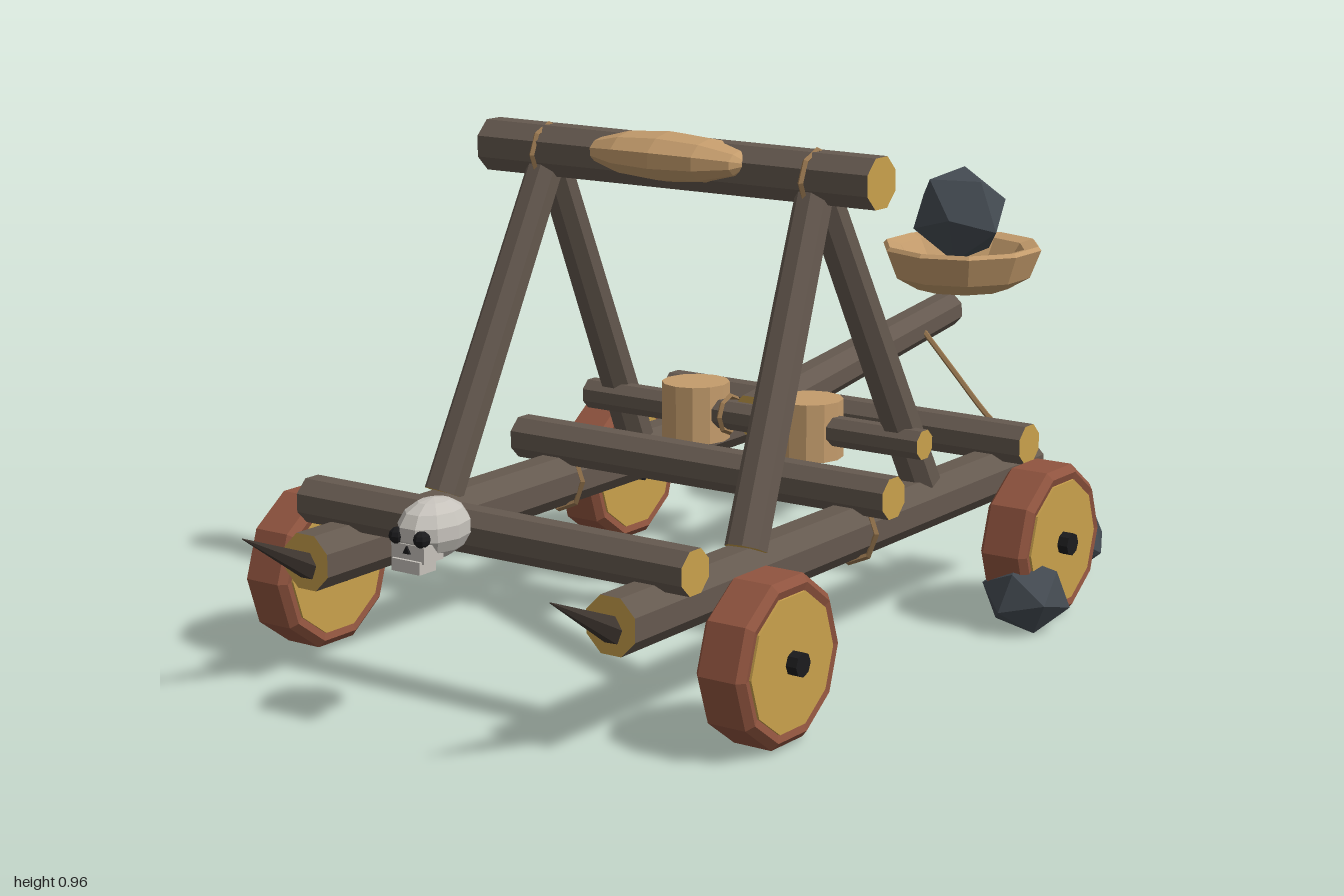
import * as THREE from 'three';

const mat = (name, color) => {
  const m = new THREE.MeshStandardMaterial({ color, flatShading: true });
  m.name = name;
  return m;
};

export function createModel() {
  const bark = mat('bark', 0x65594f);
  const cutWood = mat('cutWood', 0xc9a04c);
  const paleWood = mat('paleWood', 0xc49c6c);
  const rimWood = mat('rimWood', 0x90543f);
  const stone = mat('stone', 0x444b52);
  const bone = mat('bone', 0xc6c2bb);
  const black = mat('black', 0x1b1b1d);
  const horn = mat('horn', 0x3d352f);
  const cord = mat('cord', 0x96754e);

  const model = new THREE.Group();
  model.name = 'catapult';
  const CX = -0.02; // centre line of the frame
  const V = (x, y, z) => new THREE.Vector3(x, y, z);

  const add = (name, geo, material, x = 0, y = 0, z = 0, parent = model) => {
    const m = new THREE.Mesh(geo, material);
    m.name = name;
    m.position.set(x, y, z);
    parent.add(m);
    return m;
  };

  // Log between two points, with pale sawn ends
  const log = (name, a, b, ra, rb = ra, material = [bark, cutWood, cutWood], sides = 8) => {
    const dir = b.clone().sub(a);
    const geo = new THREE.CylinderGeometry(rb, ra, dir.length(), sides);
    geo.rotateY(Math.PI / sides);
    const m = add(name, geo, material);
    m.position.copy(a).lerp(b, 0.5);
    m.quaternion.setFromUnitVectors(V(0, 1, 0), dir.normalize());
    return m;
  };

  // Frame: side rails with spikes, and A-frame legs
  for (const s of [-1, 1]) {
    const x = CX + s * 0.34;
    log('sideRail', V(x, 0.25, -0.515), V(x, 0.245, 0.85), 0.052, 0.055);
    log('frontSpike', V(x, 0.235, 0.84), V(x - 0.008, 0.32, 1), 0.026, 0.001, horn, 6);
    const top = CX + s * 0.305;
    log('frontLeg', V(x + s * 0.005, 0.29, 0.465), V(top, 0.9, 0.185), 0.039, 0.035);
    log('rearLeg', V(x, 0.29, -0.125), V(top, 0.9, 0.18), 0.039, 0.035);

    // Rope lashings around the rail and the top beam
    const railTie = add('railLashing', new THREE.TorusGeometry(0.06, 0.006, 4, 8), cord, x, 0.25, 0.125);
    railTie.scale.y = 1.05;
    const topTie = add('topLashing', new THREE.TorusGeometry(0.053, 0.006, 4, 8), cord, top, 0.905, 0.185);
    topTie.rotation.y = Math.PI / 2;

    // Slack rope from the throwing arm to the rail
    const rope = new THREE.CatmullRomCurve3([
      V(CX + s * 0.03, 0.46, -0.635), V(CX + s * 0.14, 0.39, -0.585),
      V(CX + s * 0.25, 0.33, -0.525), V(x, 0.305, -0.465),
    ]);
    add('armRope', new THREE.TubeGeometry(rope, 10, 0.006, 5), cord);
  }

  // Cross beams: y, z, radius, ends
  for (const [name, y, z, r, x0, x1] of [
    ['frontBeam', 0.322, 0.727, 0.043, -0.455, 0.405],
    ['middleBeam', 0.32, 0.115, 0.042, -0.455, 0.41],
    ['rearBeam', 0.32, -0.39, 0.042, -0.455, 0.405],
    ['armAxle', 0.383, -0.048, 0.03, -0.41, 0.375],
    ['topBeam', 0.91, 0.182, 0.051, -0.463, 0.42],
  ]) log(name, V(x0, y, z), V(x1, y, z), r * 1.03, r * 0.98);

  // Padded stop on the top beam
  const pad = add('stopPad', new THREE.SphereGeometry(1, 10, 6).rotateZ(Math.PI / 2), paleWood, CX, 0.925, 0.215);
  pad.scale.set(0.182, 0.047, 0.073);

  // Stumps beside the arm
  for (const s of [-1, 1])
    add('stump', new THREE.CylinderGeometry(0.067, 0.067, 0.113, 12), paleWood, CX + s * 0.133, 0.382, -0.05);

  // Throwing arm, its lashing and bowl
  log('throwingArm', V(CX, 0.385, -0.05), V(CX, 0.482, -0.78), 0.044, 0.038);
  for (const s of [-1, 1]) {
    const tie = add('armLashing', new THREE.TorusGeometry(0.036, 0.006, 4, 8), cord, CX + s * 0.05, 0.383, -0.048);
    tie.rotation.y = Math.PI / 2;
  }
  const bowl = [[0, 0], [0.1, 0.003], [0.148, 0.03], [0.172, 0.09], [0.165, 0.098], [0.135, 0.09], [0.105, 0.045], [0, 0.035]]
    .map(([r, y]) => new THREE.Vector2(r, y));
  add('bowl', new THREE.LatheGeometry(bowl, 10), paleWood, CX, 0.516, -0.835);

  // Stones: one loaded, three on the ground
  for (const [name, x, y, z, sx, sy, sz, turn] of [
    ['loadedStone', -0.03, 0.675, -0.84, 0.107, 0.107, 0.1, 0.3],
    ['groundStone', 0.515, 0.08, -0.195, 0.088, 0.073, 0.083, 0.9],
    ['groundStone', 0.44, 0.085, -0.425, 0.083, 0.073, 0.078, 1.7],
    ['groundStone', 0.375, 0.083, -0.6, 0.088, 0.078, 0.083, 2.6],
  ]) {
    const geo = new THREE.IcosahedronGeometry(1, 0).rotateX(0.55).rotateY(turn);
    add(name, geo, stone, x, y, z).scale.set(sx, sy, sz);
  }

  // Wheels: bevelled rim, pale disc and dark hub, turned about x
  const rim = [[0.118, -0.044], [0.138, -0.05], [0.152, -0.038], [0.152, 0.038], [0.138, 0.05], [0.118, 0.044]]
    .map(([r, y]) => new THREE.Vector2(r, y));
  for (const s of [-1, 1]) for (const z of [0.635, -0.29]) {
    const wheel = new THREE.Group();
    wheel.name = 'wheel';
    wheel.position.set(CX + s * 0.51, 0.165, z);
    wheel.rotation.z = Math.PI / 2;
    model.add(wheel);
    add('wheelRim', new THREE.LatheGeometry(rim, 10), rimWood, 0, 0, 0, wheel);
    add('wheelDisc', new THREE.CylinderGeometry(0.123, 0.123, 0.1, 10), cutWood, 0, 0, 0, wheel);
    add('wheelHub', new THREE.CylinderGeometry(0.022, 0.022, 0.142, 8), black, 0, 0, 0, wheel);
  }

  // Skull on the front beam
  const skull = new THREE.Group();
  skull.name = 'skull';
  skull.position.set(CX, 0.372, 0.895);
  model.add(skull);
  add('cranium', new THREE.SphereGeometry(1, 10, 7), bone, 0, 0, 0, skull).scale.set(0.056, 0.053, 0.075);
  add('cheeks', new THREE.BoxGeometry(0.072, 0.03, 0.05), bone, 0, -0.03, 0.045, skull);
  add('jaw', new THREE.BoxGeometry(0.062, 0.022, 0.042), bone, 0, -0.052, 0.055, skull);
  for (const s of [-1, 1])
    add('eyeSocket', new THREE.SphereGeometry(0.015, 8, 6), black, s * 0.027, -0.004, 0.064, skull);
  const nose = add('noseHole', new THREE.CylinderGeometry(0.009, 0.009, 0.008, 3), black, 0, -0.026, 0.07, skull);
  nose.rotation.set(Math.PI / 2, Math.PI, 0);

  return model;
}
